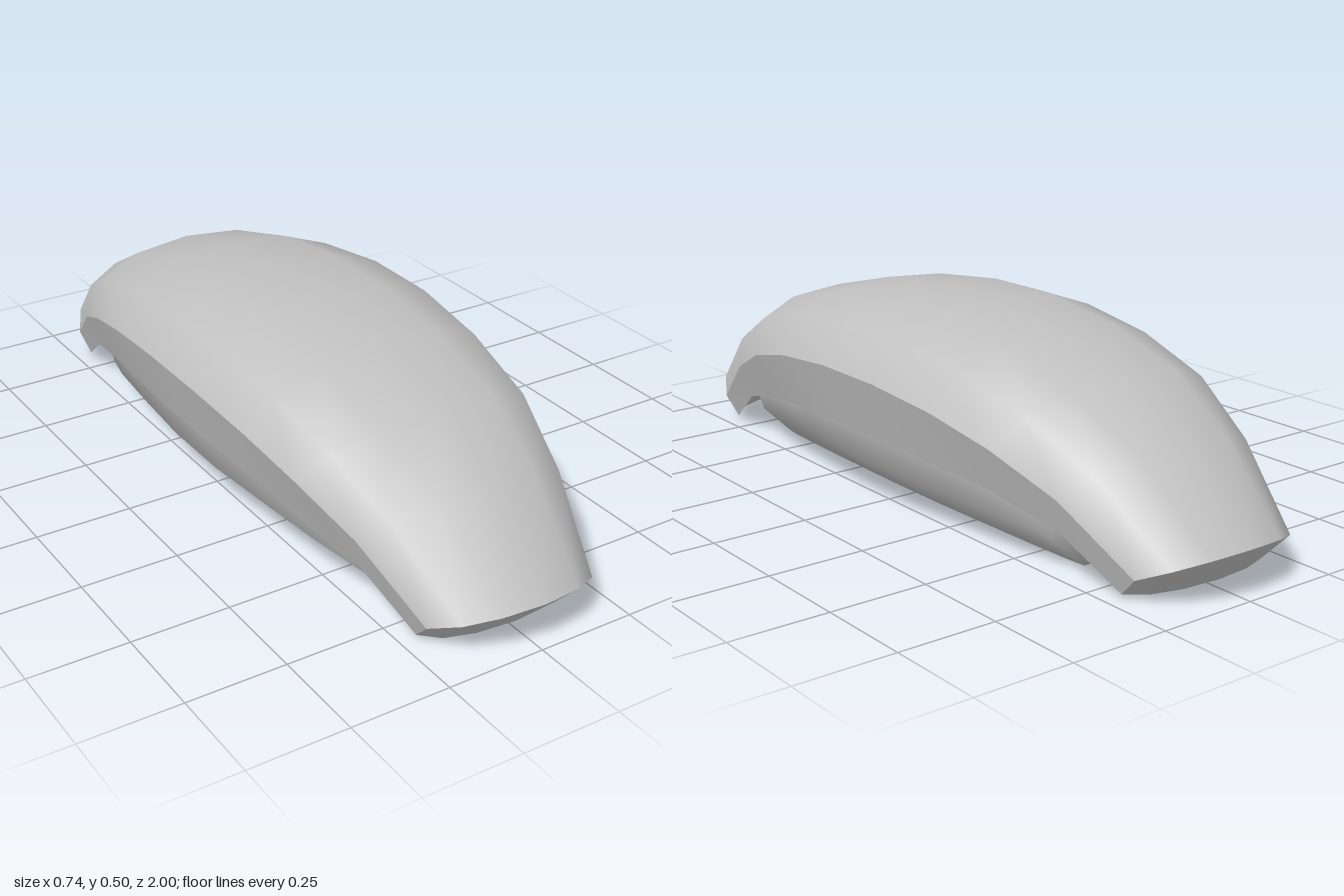
import * as THREE from 'three';

// Skin a grid of points (rows of equal length) into one smooth surface.
function skin(name, rows, material) {
  const w = rows[0].length, index = [];
  for (let i = 0; i < rows.length - 1; i++) {
    for (let j = 0; j < w - 1; j++) {
      const a = i * w + j, b = a + w;
      index.push(a, b, a + 1, a + 1, b, b + 1);
    }
  }
  const g = new THREE.BufferGeometry();
  g.setAttribute('position', new THREE.Float32BufferAttribute(rows.flat(2), 3));
  g.setIndex(index);
  g.computeVertexNormals();
  const mesh = new THREE.Mesh(g, material);
  mesh.name = name;
  return mesh;
}

const flipX = ([x, y, z]) => [-x, y, z];
const flipZ = ([x, y, z]) => [x, y, -z];
const reversed = rows => rows.map(r => [...r].reverse());
// Stations run from the middle to the front; repeat them towards the back.
const bothEnds = rows => [...[...rows].reverse().map(r => r.map(flipZ)), ...rows];

// Half arch from the centre line to the edge, mirrored to a full arch.
function arch(centre, edge, k) {
  const across = [0, 0.47, 0.82, 1];
  const drop = [0, 0.07 + 0.05 * k, 0.36 + 0.08 * k, 1];
  const half = across.map((f, i) => [
    edge[0] * f,
    centre[0] + (edge[1] - centre[0]) * drop[i],
    centre[1] + (edge[2] - centre[1]) * drop[i],
  ]);
  return [...half.slice(1).reverse().map(flipX), ...half];
}

export function createModel() {
  const model = new THREE.Group();
  const grey = new THREE.MeshStandardMaterial({ color: 0xc0c0c0, side: THREE.DoubleSide });
  grey.name = 'light grey';

  // Stations from the middle to the front: centre lines [y, z], edges [x, y, z]
  const outerCentre = [[0.5, 0.11], [0.475, 0.35], [0.41, 0.6], [0.3, 0.8], [0.12, 1]];
  const innerCentre = [[0.36, 0.1], [0.335, 0.3], [0.28, 0.5], [0.18, 0.73], [0.02, 0.905]];
  const upperEdge = [[0.37, 0.345, 0.11], [0.355, 0.322, 0.32], [0.33, 0.28, 0.5], [0.28, 0.2, 0.68], [0.22, 0.06, 0.87]];
  const lowerEdge = [[0.33, 0.19, 0.1], [0.315, 0.18, 0.3], [0.295, 0.165, 0.47], [0.255, 0.115, 0.66], [0.21, 0.01, 0.82]];

  const outer = outerCentre.map((c, i) => arch(c, upperEdge[i], i / 4));
  const inner = innerCentre.map((c, i) => arch(c, lowerEdge[i], i / 4));

  // Curved shell: top, underside, side bands and end faces
  const shell = new THREE.Group();
  shell.name = 'shell';
  shell.add(skin('shellTop', bothEnds(outer), grey));
  shell.add(skin('shellUnderside', reversed(bothEnds(inner)), grey));

  const band = bothEnds(upperEdge.map((p, i) => [p, lowerEdge[i]]));
  shell.add(skin('leftBand', band, grey));
  shell.add(skin('rightBand', reversed(band.map(r => r.map(flipX))), grey));

  const end = inner[4].map((p, i) => [p, outer[4][i]]);
  shell.add(skin('frontEnd', end, grey));
  shell.add(skin('backEnd', reversed(end.map(r => r.map(flipZ))), grey));
  model.add(shell);

  // Rounded base tucked into the shell: bottom, side and upper points
  const baseHalf = [
    [[0.17, 0, 0.1], [0.31, 0.11, 0.1], [0.305, 0.22, 0.1]],
    [[0.165, 0, 0.3], [0.295, 0.11, 0.3], [0.29, 0.21, 0.3]],
    [[0.16, 0, 0.47], [0.27, 0.1, 0.49], [0.265, 0.18, 0.49]],
    [[0.155, 0, 0.58], [0.235, 0.08, 0.61], [0.23, 0.15, 0.62]],
    [[0.15, 0, 0.63], [0.2, 0.06, 0.69], [0.2, 0.1, 0.72]],
    [[0.12, 0.11, 0.76], [0.17, 0.11, 0.755], [0.18, 0.11, 0.75]],
  ];
  const base = baseHalf.map(h => [
    ...h.map(flipX).reverse(), [0, h[0][1], h[0][2]], ...h,
  ]);
  model.add(skin('base', reversed(bothEnds(base)), grey));

  return model;
}
